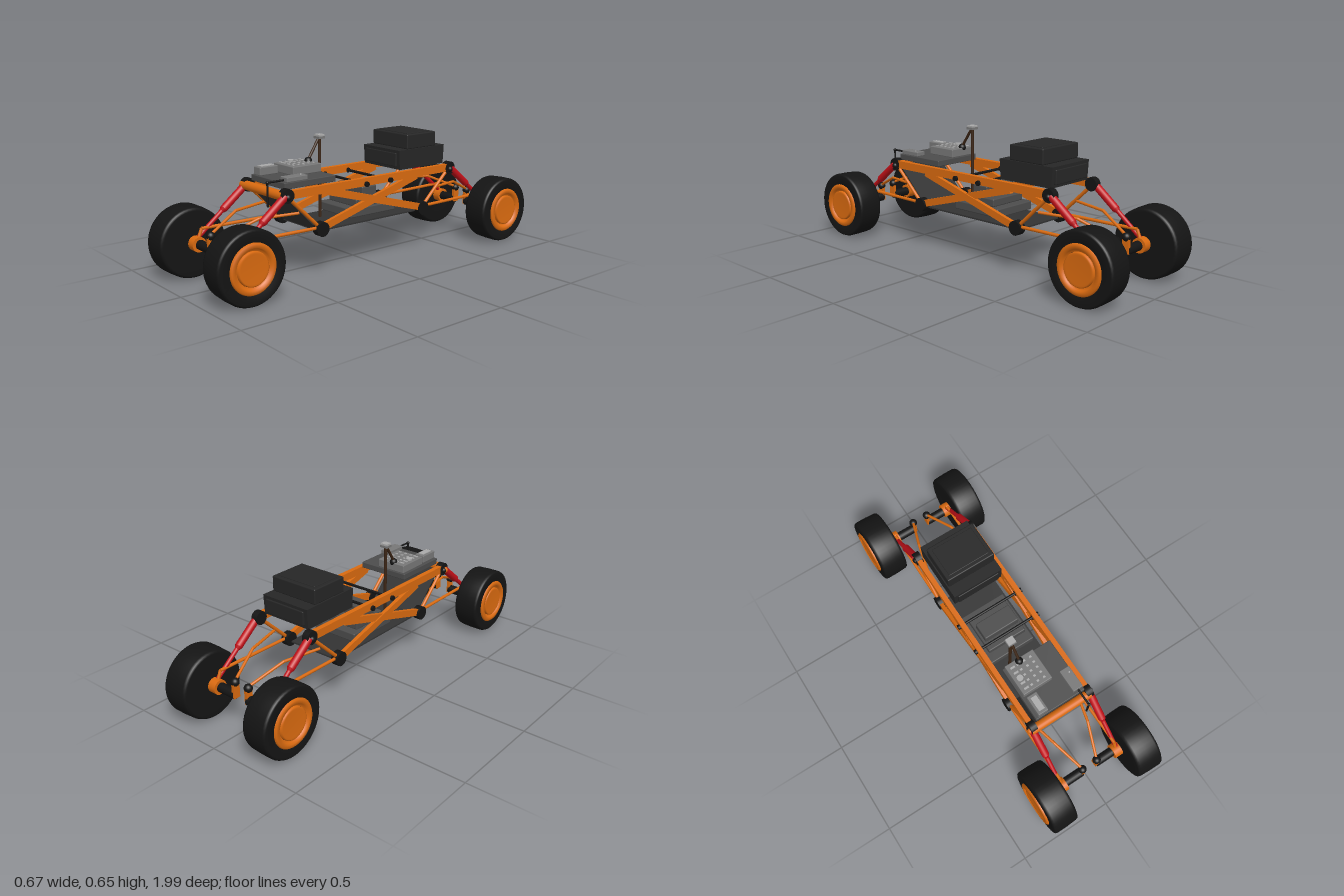
import * as THREE from 'three';
import { RoundedBoxGeometry } from 'three/addons/geometries/RoundedBoxGeometry.js';

const mat = (color, side = THREE.FrontSide) => new THREE.MeshStandardMaterial({ color, side });
const orange = mat(0xd96a10), black = mat(0x141414), red = mat(0xc01018);
const dark = mat(0x262626), plate = mat(0x333333, THREE.DoubleSide);
const grey = mat(0x4c4c4c), light = mat(0x777777), pale = mat(0xaaaaaa), brown = mat(0x3a2414);
const V = (x, y, z) => new THREE.Vector3(x, y, z);

export function createModel() {
  const root = new THREE.Group();
  root.name = 'roverBuggy';

  const add = (name, geo, m, parent = root) => {
    const mesh = new THREE.Mesh(geo, m);
    mesh.name = name;
    parent.add(mesh);
    return mesh;
  };
  // Box given by its limits on each axis
  const box = (name, m, x0, x1, y0, y1, z0, z1, round = 0) => {
    const s = [x1 - x0, y1 - y0, z1 - z0];
    const geo = round ? new RoundedBoxGeometry(...s, 2, round) : new THREE.BoxGeometry(...s);
    const b = add(name, geo, m);
    b.position.set((x0 + x1) / 2, (y0 + y1) / 2, (z0 + z1) / 2);
    return b;
  };
  // Round bar between two points
  const rod = (name, m, a, b, r, r2 = r) => {
    const d = b.clone().sub(a);
    const c = add(name, new THREE.CylinderGeometry(r2, r, d.length(), 20), m);
    c.position.copy(a).add(b).multiplyScalar(0.5);
    c.quaternion.setFromUnitVectors(V(0, 1, 0), d.normalize());
    return c;
  };
  // Rectangular bar between two points
  const beam = (name, m, a, b, w, h) => {
    const g = add(name, new THREE.BoxGeometry(w, h, a.distanceTo(b)), m);
    g.position.copy(a).add(b).multiplyScalar(0.5);
    g.lookAt(b);
    return g;
  };
  const ball = (name, m, p, r) => add(name, new THREE.SphereGeometry(r, 20, 14), m).position.copy(p);

  // Lathed wheel parts, turned so the lathe axis points outward
  const lathe = pts => {
    const g = new THREE.LatheGeometry(pts.map(p => new THREE.Vector2(...p)), 48);
    return g.rotateZ(-Math.PI / 2);
  };
  const tyreGeo = lathe([[0, -0.068], [0.1, -0.068], [0.158, -0.07], [0.168, -0.066], [0.172, -0.055],
    [0.175, 0], [0.175, 0.055], [0.171, 0.065], [0.164, 0.069], [0.118, 0.068], [0.112, 0.055], [0, 0.055]]);
  const rimGeo = lathe([[0.118, 0.05], [0.118, 0.07], [0.112, 0.077], [0.095, 0.079], [0.091, 0.066], [0.08, 0.062]]);
  const capGeo = lathe([[0.08, 0.056], [0.079, 0.072], [0.073, 0.076], [0.066, 0.073], [0, 0.073]]);

  const X = 0.165;
  for (const sx of [1, -1]) {
    for (const sz of [1, -1]) {
      const P = (x, y, z) => V(sx * x, y, sz * z);
      // Wheel
      const wheel = new THREE.Group();
      wheel.name = 'wheel';
      wheel.position.copy(P(0.255, 0.177, 0.82));
      wheel.rotation.y = sx > 0 ? 0 : Math.PI;
      root.add(wheel);
      add('tyre', tyreGeo, black, wheel);
      add('rim', rimGeo, orange, wheel);
      add('hubCap', capGeo, orange, wheel);
      // Knuckle, axle motor and inner bracket
      rod('knuckle', orange, P(0.143, 0.179, 0.815), P(0.2, 0.179, 0.815), 0.037);
      rod('axleMotor', black, P(0.042, 0.179, 0.812), P(0.15, 0.179, 0.812), 0.024);
      const tab = box('linkBracket', orange, -0.008, 0.008, 0.163, 0.25, -0.018, 0.018);
      tab.position.add(P(0.042, 0, 0.812));
      ball('linkJoint', black, P(0.043, 0.243, 0.812), 0.021);
      // Suspension links
      rod('upperLink', orange, P(0.043, 0.25, 0.81), P(0.1, 0.325, 0.64), 0.007);
      rod('upperLink', orange, P(0.1, 0.325, 0.64), P(0.148, 0.33, 0.45), 0.007);
      ball('linkBend', orange, P(0.1, 0.325, 0.64), 0.007);
      rod('lowerLink', orange, P(X, 0.245, 0.33), P(X, 0.25, 0.79), 0.008);
      rod('lowerLinkMount', orange, P(X, 0.25, 0.79), P(X, 0.2, 0.81), 0.008);
      // Shock absorber in two stages
      const top = P(0.168, 0.425, 0.54), mid = P(0.168, 0.325, 0.665), low = P(0.17, 0.21, 0.805);
      rod('shockBody', red, top, mid, 0.019);
      rod('shockCollar', red, mid, mid.clone().lerp(low, 0.08), 0.019, 0.012);
      rod('shockPiston', red, mid, low, 0.011);
      // Frame nodes
      rod('upperNode', black, P(0.145, 0.427, 0.53), P(0.18, 0.427, 0.53), 0.034);
      ball('upperNodeBolt', black, P(0.176, 0.42, 0.53), 0.016);
      rod('lowerNode', black, P(0.145, 0.237, 0.332), P(0.183, 0.237, 0.332), 0.036);
      // Frame struts
      rod('endStrut', orange, P(X, 0.425, 0.53), P(X, 0.237, 0.332), 0.009);
      beam('crossBrace', orange, P(X + sz * 0.003, 0.415, 0.29), P(X + sz * 0.003, 0.24, -0.332), 0.02, 0.036);
    }
    beam('topRail', orange, V(sx * X, 0.43, -0.52), V(sx * X, 0.43, 0.53), 0.026, 0.04);
    for (const z of [0.062, -0.095])
      rod('tieRodEnd', black, V(sx * 0.15, 0.42, z), V(sx * 0.19, 0.42, z), 0.013);
  }

  // Bars across the frame
  for (const z of [0.062, -0.095]) rod('tieRod', black, V(-0.16, 0.42, z), V(0.16, 0.42, z), 0.007);
  rod('frontBar', orange, V(-0.178, 0.427, 0.545), V(0.165, 0.427, 0.545), 0.023);
  ball('frontBarCap', orange, V(-0.178, 0.42, 0.54), 0.017);

  // Floor, sloping nose panel and centre tray
  box('floorPlate', plate, -0.15, 0.15, 0.22, 0.228, -0.335, 0.335);
  beam('nosePanel', plate, V(0, 0.224, 0.33), V(0, 0.425, 0.53), 0.29, 0.006);
  box('centreTray', grey, -0.13, 0.13, 0.245, 0.29, -0.175, 0.12, 0.006);
  box('trayStep', grey, -0.11, 0.11, 0.29, 0.33, -0.13, 0.07, 0.006);
  box('trayBlock', grey, -0.1, 0.1, 0.33, 0.385, -0.075, 0.02, 0.006);
  box('trayFoot', dark, -0.06, 0.06, 0.205, 0.22, -0.17, 0.11);

  // Rear cargo cases with raised lids; the lower one tapers at its base
  const lower = box('lowerCase', dark, -0.14, 0.137, 0.45, 0.55, -0.52, -0.195);
  const pos = lower.geometry.attributes.position;
  for (let i = 0; i < pos.count; i++) if (pos.getY(i) < 0) pos.setZ(i, pos.getZ(i) * 0.96);
  lower.geometry.computeVertexNormals();
  box('lowerCasePanel', dark, -0.12, 0.117, 0.465, 0.535, -0.526, -0.19, 0.004);
  box('upperCase', dark, -0.135, 0.133, 0.55, 0.627, -0.46, -0.255, 0.006);
  box('upperCaseLid', dark, -0.115, 0.113, 0.62, 0.631, -0.44, -0.275, 0.003);

  // Front instrument deck
  box('deck', grey, -0.135, 0.145, 0.45, 0.482, 0.225, 0.525, 0.004);
  box('console', light, -0.125, 0.038, 0.482, 0.525, 0.23, 0.4, 0.004);
  for (let i = 0; i < 4; i++) for (let j = 0; j < 5; j++) {
    const x = -0.108 + i * 0.036, z = 0.252 + j * 0.03;
    box('consoleKey', pale, x, x + (i ? 0.012 : 0.025), 0.522, 0.529, z, z + 0.01);
  }
  box('sensorBox', light, -0.12, -0.065, 0.482, 0.522, 0.415, 0.52, 0.004);
  box('sensorWindow', pale, -0.108, -0.077, 0.52, 0.526, 0.43, 0.505);
  rod('sensorDrum', pale, V(-0.095, 0.515, 0.32), V(-0.095, 0.534, 0.32), 0.016);
  box('radioBox', light, 0.088, 0.142, 0.482, 0.504, 0.39, 0.51, 0.003);
  rod('radioKnob', pale, V(0.125, 0.5, 0.42), V(0.125, 0.51, 0.42), 0.004);

  // Bent antenna hanging over the front bar
  rod('antennaArm', black, V(0.115, 0.49, 0.5), V(0.115, 0.49, 0.6), 0.005);
  ball('antennaElbow', black, V(0.115, 0.49, 0.6), 0.008);
  rod('antennaWhip', black, V(0.115, 0.49, 0.6), V(0.115, 0.375, 0.6), 0.005);

  // Mast with diagonal stay and camera head
  rod('mast', brown, V(-0.053, 0.215, 0.172), V(-0.053, 0.635, 0.172), 0.008);
  rod('mastStay', brown, V(-0.05, 0.53, 0.245), V(-0.053, 0.635, 0.175), 0.007);
  ball('stayJoint', black, V(-0.05, 0.525, 0.245), 0.02);
  box('mastHead', light, -0.075, -0.031, 0.63, 0.642, 0.152, 0.192);
  box('mastHeadTop', pale, -0.073, -0.033, 0.642, 0.651, 0.154, 0.19);

  return root;
}
